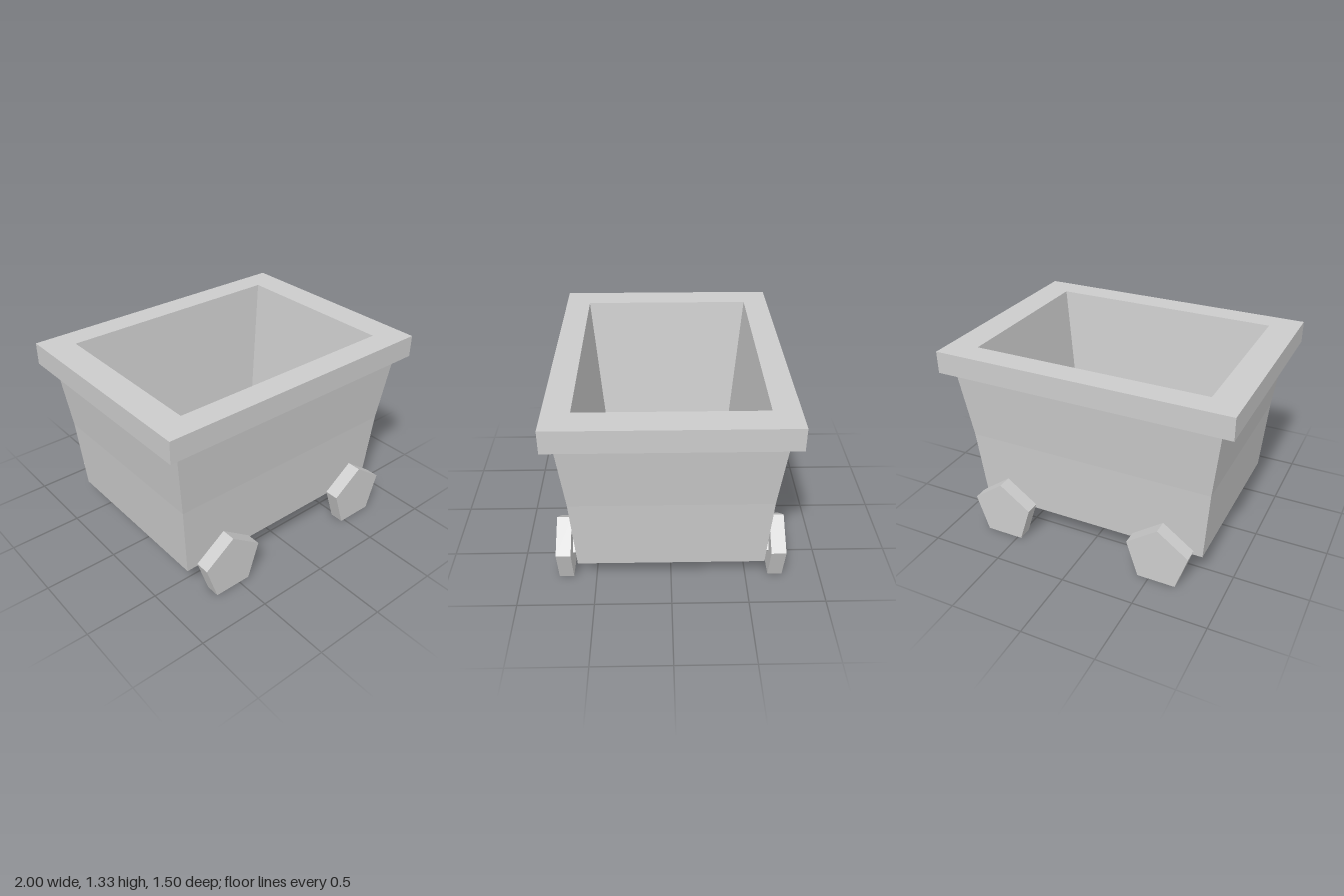
import * as THREE from 'three';

const grey = new THREE.MeshStandardMaterial({ color: 0xcccccc });
grey.name = 'grey';

// Flat-faced loft through rectangles [halfX, y, halfZ]; a zero-size ring closes an end.
function loft(name, rings) {
  const corner = ([x, y, z], i) => [[x, y, z], [x, y, -z], [-x, y, -z], [-x, y, z]][i % 4];
  const pos = [];
  for (let r = 0; r < rings.length - 1; r++) {
    for (let i = 0; i < 4; i++) {
      const a = corner(rings[r], i), b = corner(rings[r], i + 1);
      const c = corner(rings[r + 1], i + 1), d = corner(rings[r + 1], i);
      pos.push(...a, ...b, ...c, ...a, ...c, ...d);
    }
  }
  const geo = new THREE.BufferGeometry();
  geo.setAttribute('position', new THREE.Float32BufferAttribute(pos, 3));
  geo.computeVertexNormals();
  const mesh = new THREE.Mesh(geo, grey);
  mesh.name = name;
  return mesh;
}

// Flat-faced prism lying along z, one corner pointing straight up.
function prism(name, radius, sides, length, x, y, z) {
  const shape = new THREE.Shape();
  for (let i = 0; i < sides; i++) {
    const a = Math.PI / 2 + (i / sides) * Math.PI * 2;
    const p = [Math.cos(a) * radius, Math.sin(a) * radius];
    if (i) shape.lineTo(...p); else shape.moveTo(...p);
  }
  shape.closePath();
  const geo = new THREE.ExtrudeGeometry(shape, { depth: length, bevelEnabled: false });
  geo.translate(0, 0, -length / 2);
  const mesh = new THREE.Mesh(geo, grey);
  mesh.name = name;
  mesh.position.set(x, y, z);
  return mesh;
}

export function createModel() {
  const cart = new THREE.Group();
  cart.name = 'mineCart';

  // Tapered outside of the tub, with its underside
  cart.add(loft('tubOutside', [
    [0, 0.185, 0], [0.815, 0.185, 0.61], [0.855, 0.69, 0.64], [0.915, 1.175, 0.688],
  ]));
  // Overhanging rim
  cart.add(loft('rim', [
    [0.915, 1.175, 0.688], [1, 1.175, 0.75], [1, 1.325, 0.75], [0.8, 1.325, 0.58],
  ]));
  // Sloping inner walls and floor
  const inside = loft('tubInside', [
    [0.8, 1.325, 0.58], [0.675, 0.36, 0.49], [0, 0.36, 0],
  ]);
  cart.add(inside);

  // Square axles and five-sided wheels
  for (const [end, x] of [['right', -0.555], ['left', 0.605]]) {
    cart.add(prism(end + 'Axle', 0.1, 4, 1.32, x, 0.183, 0));
    for (const [side, s] of [['Front', 1], ['Back', -1]]) {
      cart.add(prism(end + side + 'Wheel', 0.224, 5, 0.097, x, 0.181, s * 0.7015));
    }
  }
  return cart;
}
